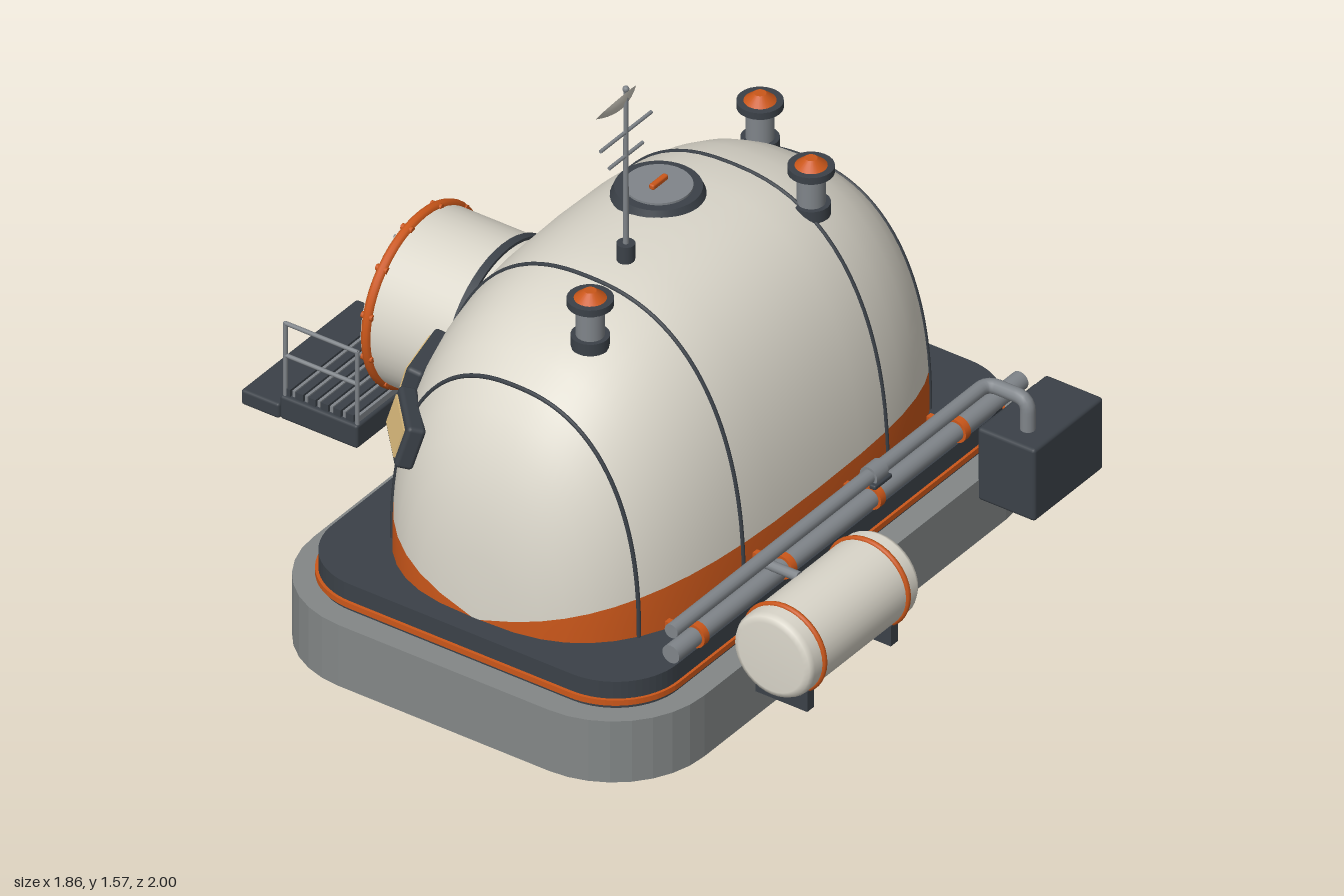
import * as THREE from 'three';
import { RoundedBoxGeometry } from 'three/addons/geometries/RoundedBoxGeometry.js';

const mat = (name, color, side = THREE.FrontSide) => {
  const m = new THREE.MeshStandardMaterial({ color, side });
  m.name = name;
  return m;
};

export function createModel() {
  const root = new THREE.Group();
  root.name = 'habitatDome';
  const cream = mat('creamShell', 0xdad6ca, THREE.DoubleSide);
  const dark = mat('darkTrim', 0x3b4148);
  const orange = mat('orangeAccent', 0xcb571a);
  const concrete = mat('concreteGrey', 0x838787);
  const steel = mat('steelGrey', 0x80858a);
  const glass = mat('amberGlass', 0xdcbb7c);

  const add = (name, geo, material, x = 0, y = 0, z = 0, parent = root) => {
    const m = new THREE.Mesh(geo, material);
    m.name = name;
    m.position.set(x, y, z);
    parent.add(m);
    return m;
  };
  const box = (w, h, d) => new THREE.BoxGeometry(w, h, d);
  const rbox = (w, h, d, r = 0.008) => new RoundedBoxGeometry(w, h, d, 2, r);
  const cyl = (r, h, n = 24, r2 = r) => new THREE.CylinderGeometry(r2, r, h, n);
  const cylX = (r, h, n = 20) => cyl(r, h, n).rotateZ(Math.PI / 2);
  const cylZ = (r, h, n = 40) => cyl(r, h, n).rotateX(Math.PI / 2);

  // Foundation: stacked slabs with rounded corners
  const slab = (hx, hz, r, height, segments) => {
    const s = new THREE.Shape();
    [[1, 1, 0], [-1, 1, 1], [-1, -1, 2], [1, -1, 3]].forEach(([sx, sz, q]) => {
      s.absarc(sx * (hx - r), sz * (hz - r), r, q * Math.PI / 2, (q + 1) * Math.PI / 2, false);
    });
    return new THREE.ExtrudeGeometry(s, { depth: height, bevelEnabled: false, curveSegments: segments })
      .rotateX(-Math.PI / 2);
  };
  add('foundation', slab(0.93, 0.605, 0.28, 0.185, 4), concrete, 0, 0, 0.115);
  add('skirt', slab(0.86, 0.533, 0.19, 0.08, 8), dark, 0, 0.184, 0.118);
  add('skirtStripe', slab(0.869, 0.541, 0.199, 0.016, 8), orange, 0, 0.197, 0.118);

  // Dome: superelliptic sections swept along x
  const A = 0.8, B = 0.79, C = 0.49, N = 2.8, M = 2.4, Y0 = 0.26, Z0 = 0.12;
  const pw = (v, p) => Math.sign(v) * Math.pow(Math.abs(v), p);
  const sectionPoint = (u, rho, t, k = 1) => new THREE.Vector3(
    A * u, Y0 + k * B * rho * pw(Math.sin(t), 2 / M), Z0 + k * C * rho * pw(Math.cos(t), 2 / M));
  const normalAt = (p) => {
    const u = p.x / A, v = (p.y - Y0) / B, w = (p.z - Z0) / C;
    const k = Math.pow(Math.pow(Math.abs(v), M) + Math.pow(Math.abs(w), M), (N - M) / M);
    return new THREE.Vector3(pw(u, N - 1) / A, k * pw(v, M - 1) / B, k * pw(w, M - 1) / C).normalize();
  };
  const domeBand = (t0, t1, cols) => {
    const rows = 24, pos = [], nor = [], idx = [];
    for (let i = 0; i <= rows; i++) {
      const a = Math.PI * i / rows;
      const u = pw(Math.cos(a), 2 / N), rho = Math.pow(Math.max(0, Math.sin(a)), 2 / N);
      for (let j = 0; j <= cols; j++) {
        const p = sectionPoint(u, rho, t0 + (t1 - t0) * j / cols);
        pos.push(...p.toArray());
        nor.push(...normalAt(p).toArray());
        if (i < rows && j < cols) {
          const q = i * (cols + 1) + j, r = q + cols + 1;
          idx.push(q, q + 1, r, q + 1, r + 1, r);
        }
      }
    }
    const g = new THREE.BufferGeometry();
    g.setAttribute('position', new THREE.Float32BufferAttribute(pos, 3));
    g.setAttribute('normal', new THREE.Float32BufferAttribute(nor, 3));
    g.setIndex(idx);
    return g;
  };
  const T = 0.137;
  const orangeBand = mat('orangeAccent', 0xcb571a);
  add('domeShell', domeBand(T, Math.PI - T, 36), cream);
  add('domeBandFront', domeBand(0, T, 3), orange);
  add('domeBandBack', domeBand(Math.PI - T, Math.PI, 3), orange);

  // Panel seams
  for (const x of [-0.627, -0.31, 0.31, 0.627]) {
    const u = x / A, rho = Math.pow(1 - Math.pow(Math.abs(u), N), 1 / N);
    const pts = [];
    for (let j = 0; j <= 40; j++) pts.push(sectionPoint(u, rho, Math.PI * j / 40));
    add('panelSeam', new THREE.TubeGeometry(new THREE.CatmullRomCurve3(pts), 80, 0.006, 6), dark);
  }

  // Windows, set square to the shell
  const onShell = (name, p) => {
    const g = new THREE.Group();
    g.name = name;
    g.position.copy(p);
    g.lookAt(p.clone().add(normalAt(p)));
    root.add(g);
    return g;
  };
  for (const x of [-0.65, -0.415, 0.415, 0.65]) {
    const y = 0.635, rho = Math.pow(1 - Math.pow(Math.abs(x) / A, N), 1 / N);
    const w = Math.pow(Math.pow(rho, M) - Math.pow((y - Y0) / B, M), 1 / M);
    const g = onShell('rearWindow', new THREE.Vector3(x, y, Z0 - C * w));
    add('windowFrame', rbox(0.2, 0.125, 0.05, 0.012), dark, 0, 0, 0.012, g);
    add('windowPane', box(0.16, 0.085, 0.008), glass, 0, 0, 0.038, g);
  }
  const py = 0.61;
  const port = onShell('porthole',
    new THREE.Vector3(A * Math.pow(1 - Math.pow((py - Y0) / B, N), 1 / N), py, Z0));
  add('portholeFrame', new THREE.TorusGeometry(0.074, 0.014, 10, 32), dark, 0, 0, 0.012, port);
  add('portholePane', cylZ(0.07, 0.008, 32), glass, 0, 0, 0.014, port);

  // Roof hatch
  add('hatchRim', cyl(0.123, 0.026, 36, 0.112), dark, 0.08, 1.053, 0.055);
  add('hatchLid', cyl(0.088, 0.008, 36), steel, 0.08, 1.068, 0.055);
  add('hatchHandle', rbox(0.065, 0.016, 0.016, 0.005), orange, 0.08, 1.078, 0.055);

  // Roof vents
  for (const [x, z] of [[-0.465, 0.235], [0.34, 0.34], [0.58, 0.01]]) {
    const rho = Math.pow(1 - Math.pow(Math.abs(x) / A, N), 1 / N);
    const h = Y0 + B * Math.pow(Math.pow(rho, M) - Math.pow(Math.abs(z - Z0) / C, M), 1 / M);
    const g = new THREE.Group();
    g.name = 'roofVent';
    g.position.set(x, h, z);
    root.add(g);
    add('ventFoot', cyl(0.05, 0.035), dark, 0, 0, 0, g);
    add('ventStem', cyl(0.037, 0.12), steel, 0, 0.06, 0, g);
    add('ventCap', cyl(0.06, 0.02), dark, 0, 0.118, 0, g);
    add('ventTop', cyl(0.042, 0.022, 24, 0.016), orange, 0, 0.139, 0, g);
  }

  // Antenna mast with crossbars and dish
  const ax = -0.203, az = 0.157;
  add('antennaFoot', cyl(0.024, 0.06, 16), dark, ax, 1.06, az);
  add('antennaMast', cyl(0.008, 0.5, 10, 0.006), steel, ax, 1.31, az);
  add('antennaBarLow', cylX(0.005, 0.145, 8), steel, ax, 1.355, az);
  add('antennaBarHigh', cylX(0.005, 0.22, 8), steel, ax, 1.427, az);
  const dishProfile = [0.001, 0.02, 0.04, 0.055, 0.066].map(r => new THREE.Vector2(r, r * r * 5 - 0.02));
  const dish = add('antennaDish', new THREE.LatheGeometry(dishProfile, 28), cream, ax, 1.503, 0.128);
  dish.rotation.x = -0.92;
  add('antennaTip', new THREE.SphereGeometry(0.009, 10, 8), steel, ax, 1.557, az);

  // Airlock
  const ay = 0.513;
  add('airlockBody', cylZ(0.242, 0.38, 48), cream, 0, ay, -0.445);
  add('airlockCollar', cylZ(0.25, 0.024, 48), dark, 0, ay, -0.36);
  add('airlockRing', new THREE.TorusGeometry(0.241, 0.014, 10, 48), orange, 0, ay, -0.618);
  for (let i = 0; i < 12; i++) {
    const a = (i + 0.5) * Math.PI / 6;
    add('airlockBolt', cylZ(0.009, 0.034, 8), orange,
      0.243 * Math.cos(a), ay + 0.243 * Math.sin(a), -0.618);
  }

  // Entry landing, step and railings
  add('landing', rbox(0.5, 0.07, 0.24), dark, 0, 0.205, -0.76);
  for (let i = 0; i < 6; i++) {
    add('gratingSlat', box(0.48, 0.022, 0.022), dark, 0, 0.25, -0.67 - i * 0.039);
    add('gratingBar', box(0.47, 0.018, 0.008), steel, 0, 0.249, -0.652 - i * 0.039);
  }
  add('lowerStep', rbox(0.5, 0.045, 0.118), dark, 0, 0.188, -0.941);
  for (const x of [-0.238, 0.238]) {
    for (const z of [-0.648, -0.87]) add('railPost', cyl(0.006, 0.23, 8), steel, x, 0.345, z);
    for (const y of [0.36, 0.457]) add('handRail', cylZ(0.006, 0.225, 8), steel, x, y, -0.759);
  }

  // Storage tank
  const tx = -0.325, ty = 0.31, tz = 0.865;
  const tankProfile = [[0, -0.24], [0.1, -0.24], [0.115, -0.234], [0.122, -0.22],
    [0.122, 0.22], [0.115, 0.234], [0.1, 0.24], [0, 0.24]].map(p => new THREE.Vector2(...p));
  add('tank', new THREE.LatheGeometry(tankProfile, 36).rotateZ(Math.PI / 2), cream, tx, ty, tz);
  for (const x of [-0.505, -0.145]) {
    add('tankStrap', new THREE.TorusGeometry(0.122, 0.008, 8, 40).rotateY(Math.PI / 2), orange, x, ty, tz);
    add('tankFoot', box(0.03, 0.06, 0.16), dark, x, 0.182, tz);
  }
  add('tankFeed', cylZ(0.014, 0.1, 12), steel, tx, 0.39, 0.73);

  // Service pipes
  add('lowerPipe', cylX(0.026, 1.505), steel, 0, 0.355, 0.69);
  const path = new THREE.CurvePath();
  const P = (x, y, z) => new THREE.Vector3(x, y, z);
  path.add(new THREE.LineCurve3(P(-0.755, 0.43, 0.695), P(0.57, 0.43, 0.695)));
  path.add(new THREE.QuadraticBezierCurve3(P(0.57, 0.43, 0.695), P(0.605, 0.43, 0.695), P(0.605, 0.43, 0.73)));
  path.add(new THREE.LineCurve3(P(0.605, 0.43, 0.73), P(0.605, 0.43, 0.785)));
  path.add(new THREE.QuadraticBezierCurve3(P(0.605, 0.43, 0.785), P(0.605, 0.43, 0.82), P(0.605, 0.395, 0.82)));
  path.add(new THREE.LineCurve3(P(0.605, 0.395, 0.82), P(0.605, 0.095, 0.82)));
  add('upperPipe', new THREE.TubeGeometry(path, 160, 0.02, 14), steel);
  add('upperPipeCap', cylX(0.02, 0.006), steel, -0.755, 0.43, 0.695);
  add('drainCap', cyl(0.02, 0.006, 14), steel, 0.605, 0.096, 0.82);
  for (const x of [-0.643, -0.265, 0.117, 0.483]) {
    add('pipeClamp', cylX(0.034, 0.022), orange, x, 0.355, 0.69);
    add('clampArm', box(0.018, 0.018, 0.08), orange, x, 0.355, 0.64);
  }
  add('valveBody', cylX(0.027, 0.05), steel, 0.117, 0.43, 0.695);
  add('valveGrip', rbox(0.075, 0.014, 0.02, 0.005), dark, 0.117, 0.41, 0.715);

  // Equipment box with cooling fins on its rear
  add('equipmentBox', rbox(0.298, 0.218, 0.178, 0.01), dark, 0.682, 0.232, 0.803);
  for (let i = 0; i < 6; i++) add('coolingFin', box(0.24, 0.01, 0.02), dark, 0.682, 0.15 + i * 0.033, 0.71);

  return root;
}
